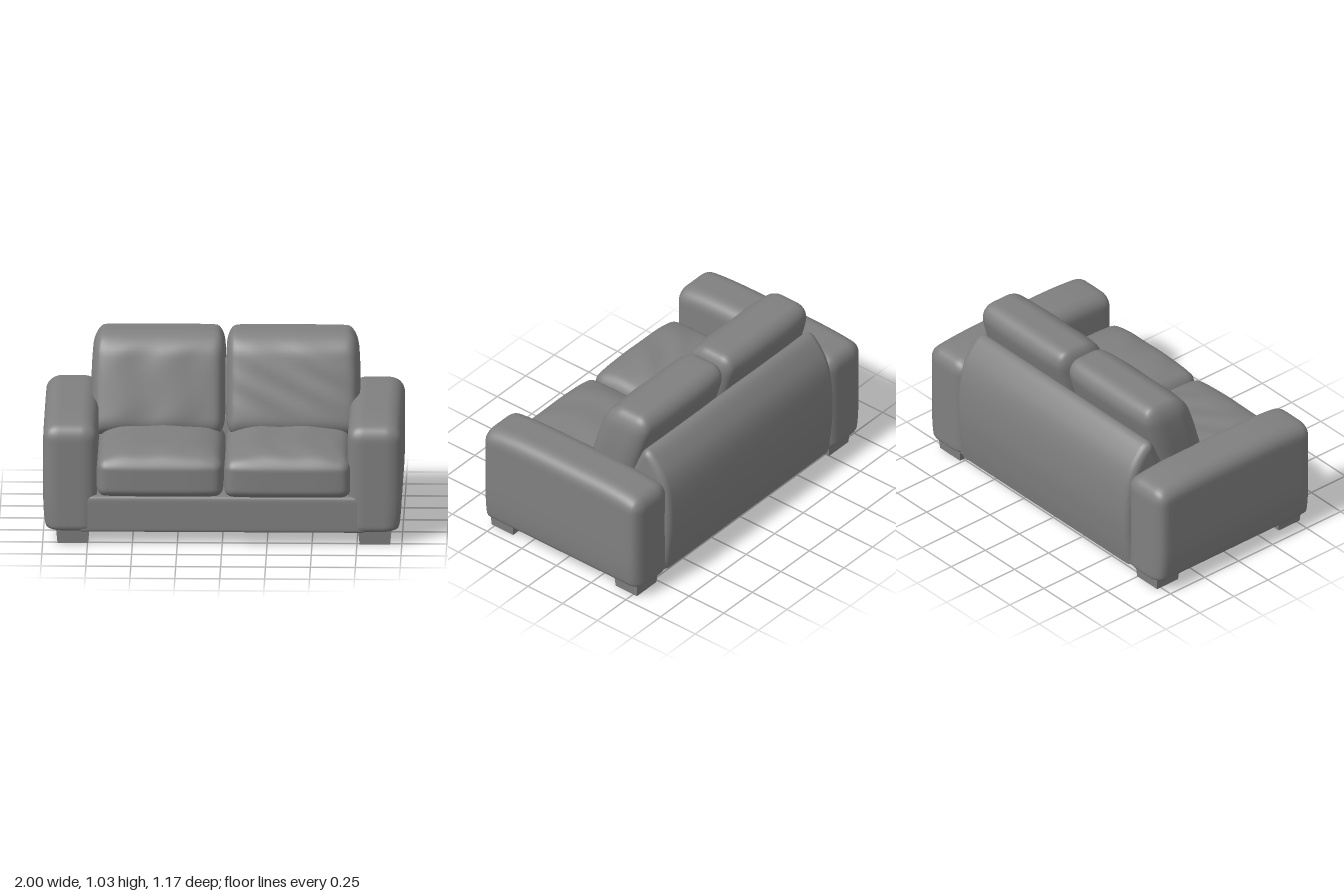
import * as THREE from 'three';
import { mergeVertices, toCreasedNormals } from 'three/addons/utils/BufferGeometryUtils.js';

const upholstery = new THREE.MeshStandardMaterial({ color: 0x808080 });
upholstery.name = 'grey upholstery';

// Rounded box with elliptical corners (radius per axis, separate one for the
// lower edges); rule(p, n) then reshapes each point, n being p scaled to -1..1.
function softBox(w, h, d, [rx, ry, rz, ryLow = ry], rule, seg = 32) {
  let geo = new THREE.BoxGeometry(2, 2, 2, seg, seg, seg);
  geo.deleteAttribute('uv');
  geo.deleteAttribute('normal');
  geo = mergeVertices(geo, 1e-5);
  const half = new THREE.Vector3(w / 2, h / 2, d / 2);
  const pos = geo.attributes.position;
  const p = new THREE.Vector3(), inner = new THREE.Vector3(), off = new THREE.Vector3();
  for (let i = 0; i < pos.count; i++) {
    p.fromBufferAttribute(pos, i);
    // crowd the grid lines toward the edges
    p.set(Math.sin(p.x * Math.PI / 2), Math.sin(p.y * Math.PI / 2), Math.sin(p.z * Math.PI / 2)).multiply(half);
    const r = new THREE.Vector3(rx, p.y > 0 ? ry : ryLow, rz);
    const lim = half.clone().sub(r);
    inner.copy(p).clamp(lim.clone().negate(), lim);
    off.copy(p).sub(inner).divide(r).normalize().multiply(r);
    p.copy(inner).add(off);
    if (rule) rule(p, p.clone().divide(half));
    pos.setXYZ(i, p.x, p.y, p.z);
  }
  geo.computeVertexNormals();
  return geo;
}

export function createModel() {
  const sofa = new THREE.Group();
  sofa.name = 'sofa';
  const add = (name, geo, x, y, z) => {
    const mesh = new THREE.Mesh(geo, upholstery);
    mesh.name = name;
    mesh.position.set(x, y, z);
    sofa.add(mesh);
    return mesh;
  };

  // base between the arms
  add('base', softBox(1.6, 0.21, 1.1, [0.02, 0.025, 0.025, 0.012], null, 16), 0, 0.175, -0.003);

  // arms: arched top, outer side drawn in toward the floor
  for (const s of [-1, 1]) {
    const arm = softBox(0.3, 0.635, 1.125, [0.09, 0.085, 0.06, 0.03], (p, n) => {
      if (p.y > 0) p.y -= 0.03 * n.z ** 4 * n.y;
      if (n.x * s > 0) p.x -= s * 0.02 * Math.max(0, -n.y) ** 4;
    });
    add(s < 0 ? 'rightArm' : 'leftArm', arm, s * 0.848, 0.3875, -0.01);
  }

  // backrest: side profile swept across the width, with rounded ends
  const profile = new THREE.Shape();
  profile.moveTo(0.25, 0.07);
  profile.lineTo(0.555, 0.07);
  profile.splineThru([[0.575, 0.2], [0.588, 0.38], [0.578, 0.56], [0.55, 0.68], [0.5, 0.765],
    [0.44, 0.825], [0.39, 0.82], [0.34, 0.72], [0.25, 0.5]].map(([x, y]) => new THREE.Vector2(x, y)));
  const bevel = 0.045, width = 1.47;
  const back = new THREE.ExtrudeGeometry(profile, {
    depth: width - 2 * bevel, steps: 1, curveSegments: 5,
    bevelEnabled: true, bevelThickness: bevel, bevelSize: bevel, bevelOffset: -bevel, bevelSegments: 6,
  });
  back.translate(0, 0, bevel - width / 2).rotateY(Math.PI / 2);
  back.deleteAttribute('uv');
  add('backrest', toCreasedNormals(back, 0.7), 0, 0, 0);

  for (const s of [-1, 1]) {
    const side = s < 0 ? 'right' : 'left';

    // seat cushions: crowned top, bulging front, faint creases
    const seat = softBox(0.705, 0.27, 0.79, [0.05, 0.09, 0.07, 0.05], (p, n) => {
      const crown = (1 - n.x ** 4) * (1 - Math.abs(n.z) ** 5);
      if (p.y > 0) {
        p.y += n.y * (0.06 * crown - 0.06);
        p.y += 0.004 * crown * Math.sin(24 * p.x - s * 14 * p.z + 3 * Math.sin(7 * p.z)) * n.y;
      }
      if (p.z > 0) p.z -= 0.02 * n.x ** 4 * n.z;
    });
    add(side + 'SeatCushion', seat, s < 0 ? -0.347 : 0.363, 0.407, s < 0 ? 0.182 : 0.192);

    // back cushions: leaning back, plump in the middle, faint creases
    const rest = softBox(0.745, 0.56, 0.34, [0.055, 0.11, 0.11, 0.1], (p, n) => {
      const plump = (1 - n.x ** 4) * (1 - n.y ** 4);
      p.z *= 0.86 + 0.14 * plump;
      if (p.z > 0) p.z += 0.004 * plump * Math.sin(20 * p.x + s * 17 * p.y + 3 * Math.sin(9 * p.y));
      p.z -= 0.3 * p.y;
      // outer side narrows a little toward the top
      if (n.x * s > 0) p.x -= s * 0.02 * Math.max(0, n.y) ** 2;
      p.y -= 0.008 * n.x ** 6 * Math.max(0, n.y);
    });
    add(side + 'BackCushion', rest, s < 0 ? -0.368 : 0.383, 0.75, -0.205);

    // tapered feet
    for (const f of [-1, 1]) {
      const foot = new THREE.BoxGeometry(0.185, 0.08, 0.165);
      const pos = foot.attributes.position;
      for (let i = 0; i < pos.count; i++) {
        if (pos.getY(i) < 0) pos.setXYZ(i, pos.getX(i) * 0.92, pos.getY(i), pos.getZ(i) * 0.93);
      }
      foot.computeVertexNormals();
      add(side + (f > 0 ? 'FrontFoot' : 'BackFoot'), foot, s < 0 ? -0.832 : 0.85, 0.04, f > 0 ? 0.443 : -0.45);
    }
  }
  return sofa;
}
